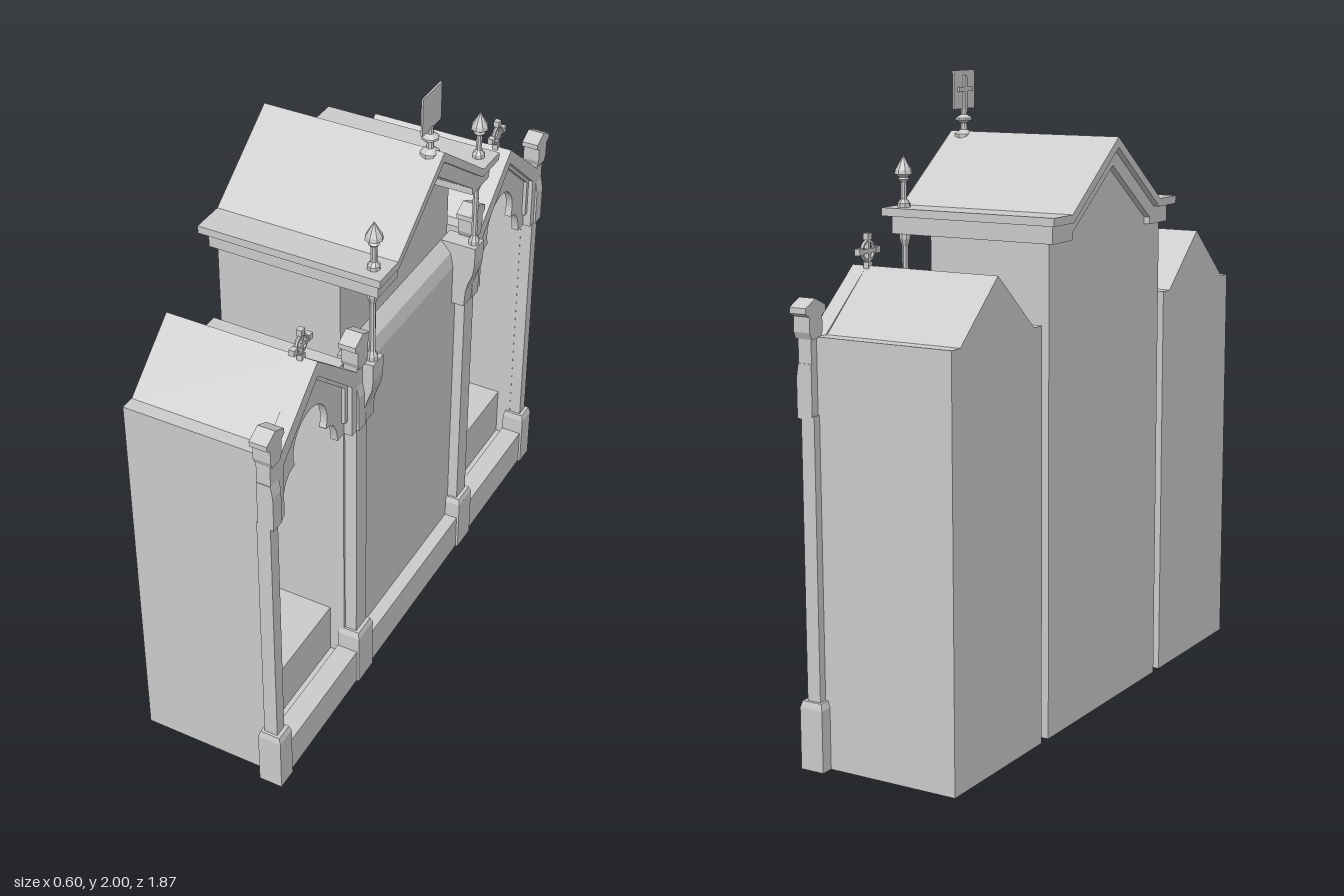
import * as THREE from 'three';

const mat = new THREE.MeshStandardMaterial({ color: 0xcccccc, flatShading: true });

function add(parent, name, geo, x = 0, y = 0, z = 0) {
  const m = new THREE.Mesh(geo, mat);
  m.name = name;
  m.position.set(x, y, z);
  parent.add(m);
  return m;
}

// Box given by its limits along each axis
function block(parent, name, x0, x1, y0, y1, z0, z1) {
  return add(parent, name, new THREE.BoxGeometry(x1 - x0, y1 - y0, z1 - z0),
    (x0 + x1) / 2, (y0 + y1) / 2, (z0 + z1) / 2);
}

const shapeOf = pts => new THREE.Shape(pts.map(p => new THREE.Vector2(...p)));
const pathOf = pts => new THREE.Path(pts.map(p => new THREE.Vector2(...p)));

// Cross-section in the z-y plane pushed along x
function alongX(parent, name, shape, x0, x1) {
  const g = new THREE.ExtrudeGeometry(shape, { depth: x1 - x0, bevelEnabled: false, curveSegments: 12 });
  g.rotateY(Math.PI / 2);
  return add(parent, name, g, x0, 0, 0);
}

// Side profile in the x-y plane pushed along z
function alongZ(parent, name, pts, z, width) {
  const g = new THREE.ExtrudeGeometry(shapeOf(pts), { depth: width, bevelEnabled: false });
  return add(parent, name, g, 0, 0, z - width / 2);
}

function turned(parent, name, pts, x, y, z) {
  return add(parent, name, new THREE.LatheGeometry(pts.map(p => new THREE.Vector2(...p)), 8), x, y, z);
}

// Mirror a half outline (right side, bottom to apex) into a closed outline
const mirrored = half => [...half, ...half.slice().reverse().filter(p => p[0] !== 0).map(([a, b]) => [-a, b])];

function ringCross(parent, x, y) {
  const g = new THREE.Group();
  g.name = 'gableCross';
  g.position.set(x, y, 0);
  add(g, 'crossRing', new THREE.TorusGeometry(0.029, 0.006, 6, 16).rotateY(Math.PI / 2));
  add(g, 'crossUpright', new THREE.BoxGeometry(0.014, 0.09, 0.012));
  add(g, 'crossArm', new THREE.BoxGeometry(0.014, 0.012, 0.09));
  for (let i = 0; i < 4; i++) {
    const a = i * Math.PI / 2;
    add(g, 'crossTip', new THREE.BoxGeometry(0.018, 0.02, 0.02), 0, Math.sin(a) * 0.042, Math.cos(a) * 0.042);
  }
  add(g, 'crossFoot', new THREE.BoxGeometry(0.016, 0.03, 0.02), 0, -0.055, 0);
  parent.add(g);
}

// Hollow side compartment, symmetrical about its own centre
function sideBay(z) {
  const g = new THREE.Group();
  g.name = 'sideBay';
  g.position.z = z;
  const outline = mirrored([[0.245, 0], [0.245, 1.285], [0.2, 1.285], [0, 1.46]]);
  const shell = shapeOf(outline);
  shell.holes.push(pathOf([[-0.228, 0.1], [-0.228, 1.28], [0.228, 1.28], [0.228, 0.1]]));
  alongX(g, 'bayShell', shell, -0.25, 0.19);
  alongX(g, 'bayBack', shapeOf(outline), -0.26, -0.25);

  // Seat, shelf and shelf brackets
  block(g, 'seat', -0.25, 0.14, 0.1, 0.28, -0.228, 0.228);
  block(g, 'shelf', -0.25, -0.03, 0.585, 0.6, -0.228, 0.228);
  for (const s of [-1, 1])
    alongZ(g, 'shelfBracket', [[-0.25, 0.52], [-0.22, 0.52], [-0.05, 0.585], [-0.25, 0.585]], s * 0.22, 0.014);

  // Trefoil arch panel
  const arch = new THREE.Shape();
  arch.moveTo(0.225, 1.05);
  arch.lineTo(0.225, 1.25);
  arch.lineTo(0, 1.45);
  arch.lineTo(-0.225, 1.25);
  arch.lineTo(-0.225, 1.05);
  arch.lineTo(-0.16, 1.05);
  arch.quadraticCurveTo(-0.155, 1.14, -0.09, 1.145);
  arch.absarc(0, 1.182, 0.098, Math.PI * 1.12, -Math.PI * 0.12, true);
  arch.lineTo(0.09, 1.145);
  arch.quadraticCurveTo(0.155, 1.14, 0.16, 1.05);
  arch.closePath();
  alongX(g, 'archPanel', arch, 0.185, 0.208);

  // Stepped gable mouldings
  const band = (o, i, y) => shapeOf([
    ...[[o, y], [o, 1.265], [0, 1.46 - (0.232 - o)], [-o, 1.265], [-o, y]],
    ...[[-i, y], [-i, 1.232], [0, 1.41 - (0.2 - i)], [i, 1.232], [i, y]]]);
  alongX(g, 'gableMoulding', band(0.232, 0.2, 1.05), 0.185, 0.235);
  alongX(g, 'innerMoulding', band(0.205, 0.185, 1.1), 0.19, 0.22);
  ringCross(g, 0.182, 1.503);
  return g;
}

// Small capped pinnacle standing on a post
function pinnacle(parent, z) {
  const g = new THREE.Group();
  g.name = 'pinnacle';
  g.position.z = z;
  block(g, 'pinnacleStem', 0.19, 0.235, 1.05, 1.29, -0.021, 0.021);
  alongZ(g, 'pinnacleWeathering', [[0.19, 1.05], [0.242, 1.05], [0.242, 1.17], [0.235, 1.21], [0.19, 1.21]], 0, 0.046);
  alongX(g, 'pinnacleCap', shapeOf(mirrored(
    [[0.021, 1.28], [0.03, 1.3], [0.03, 1.345], [0.047, 1.355], [0.047, 1.372], [0, 1.395]])), 0.187, 0.243);
  parent.add(g);
}

function post(parent, z, width, baseWidth) {
  block(parent, 'post', 0.185, 0.23, 0.19, 1.06, z - width / 2, z + width / 2);
  block(parent, 'postBase', 0.17, 0.248, 0, 0.19, z - baseWidth / 2, z + baseWidth / 2);
  const cap = new THREE.CylinderGeometry(Math.SQRT1_2 * 0.85, Math.SQRT1_2, 1, 4).rotateY(Math.PI / 4);
  cap.scale(0.078, 0.02, baseWidth);
  add(parent, 'postBaseCap', cap, 0.209, 0.2, z);
}

export function createModel() {
  const root = new THREE.Group();
  root.name = 'threeBayCabinet';

  // Central compartment: lower body, sloped set-back, gabled upper body
  const centre = new THREE.Group();
  centre.name = 'centreBay';
  root.add(centre);
  alongZ(centre, 'centreBody',
    [[-0.26, 0], [0.195, 0], [0.195, 1.19], [0.185, 1.24], [0.15, 1.28], [0.15, 1.54], [-0.26, 1.54]], 0, 0.71);
  alongX(centre, 'centreGable', shapeOf(mirrored([[0.35, 1.53], [0.35, 1.58], [0.27, 1.58], [0, 1.775]])), -0.26, 0.15);

  // Roof and cornice follow the gable line
  alongX(centre, 'roof', shapeOf([
    ...[[0.395, 1.575], [0.395, 1.6], [0.285, 1.6], [0, 1.81], [-0.285, 1.6], [-0.395, 1.6], [-0.395, 1.575]],
    ...[[-0.278, 1.575], [0, 1.778], [0.278, 1.575]]]), -0.3, 0.3);
  alongX(centre, 'cornice', shapeOf([
    ...[[0.37, 1.52], [0.37, 1.576], [0.278, 1.576], [0, 1.779], [-0.278, 1.576], [-0.37, 1.576], [-0.37, 1.52]],
    ...[[-0.25, 1.52], [-0.25, 1.543], [0, 1.723], [0.25, 1.543], [0.25, 1.52]]]), -0.28, 0.28);

  // Plinth across the whole front
  block(root, 'plinth', 0.17, 0.24, 0, 0.13, -0.9, 0.9);

  for (const s of [-1, 1]) {
    root.add(sideBay(s * 0.64));
    post(root, s * 0.89, 0.042, 0.07);
    post(root, s * 0.37, 0.066, 0.095);
    pinnacle(root, s * 0.89);
    pinnacle(root, s * 0.388);

    // Bracket carrying a slender column under the cornice
    const z = s * 0.344;
    alongZ(root, 'bracket',
      [[0.17, 1.05], [0.238, 1.05], [0.242, 1.11], [0.25, 1.14], [0.265, 1.18], [0.27, 1.22], [0.27, 1.28], [0.15, 1.28], [0.15, 1.2]], z, 0.064);
    turned(root, 'column', [[0, 0], [0.018, 0], [0.018, 0.015], [0.01, 0.03], [0.01, 0.2],
      [0.018, 0.225], [0.018, 0.245], [0, 0.245]], 0.25, 1.28, z);
    turned(root, 'cornerFinial', [[0, 0], [0.02, 0], [0.02, 0.012], [0.01, 0.025], [0.01, 0.075], [0.018, 0.085],
      [0.012, 0.09], [0.028, 0.1], [0.026, 0.112], [0, 0.157]], 0.253, 1.6, z);
  }

  // Ridge finial with a square plate and small cross
  const top = new THREE.Group();
  top.name = 'ridgeFinial';
  top.position.set(0.253, 0, 0);
  root.add(top);
  turned(top, 'finialStem', [[0, 0], [0.03, 0], [0.03, 0.012], [0.012, 0.025], [0.01, 0.045], [0.027, 0.055],
    [0.027, 0.062], [0.01, 0.072], [0.009, 0.09], [0, 0.1]], 0, 1.79, 0);
  block(top, 'plate', -0.002, 0.004, 1.88, 2, -0.06, 0.06);
  block(top, 'crossUpright', -0.009, 0, 1.87, 1.985, -0.007, 0.007);
  block(top, 'crossArm', -0.009, 0, 1.934, 1.948, -0.04, 0.04);
  return root;
}
